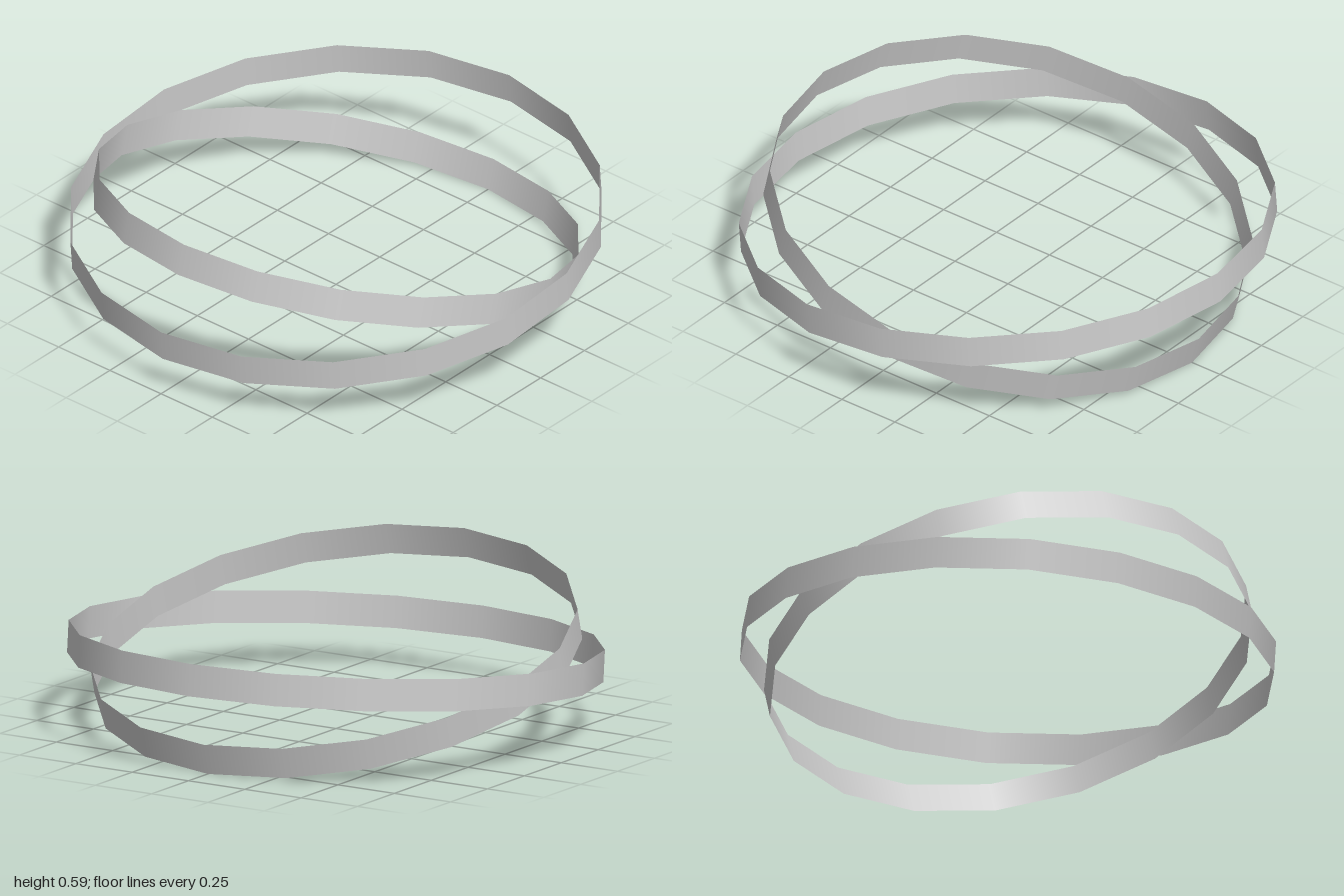
import * as THREE from 'three';

const SIDES = 18;
const BAND_HEIGHT = 0.122;

// Thin open band with a corner on the x axis, tilted about z
function makeBand(name, radius, tiltDegrees, material) {
  const geometry = new THREE.CylinderGeometry(
    radius, radius, BAND_HEIGHT, SIDES, 1, true, Math.PI / 2, Math.PI * 2);
  const band = new THREE.Mesh(geometry, material);
  band.name = name;
  band.rotation.z = THREE.MathUtils.degToRad(tiltDegrees);
  band.position.y = 0.296;
  return band;
}

export function createModel() {
  const group = new THREE.Group();
  group.name = 'crossedRings';
  const material = new THREE.MeshStandardMaterial({ color: 0xcccccc, side: THREE.DoubleSide });

  // Wide ring, rising gently to +x
  group.add(makeBand('outerRing', 0.9985, 5, material));
  // Smaller ring, falling more steeply to +x
  group.add(makeBand('innerRing', 0.916, -15, material));
  return group;
}
